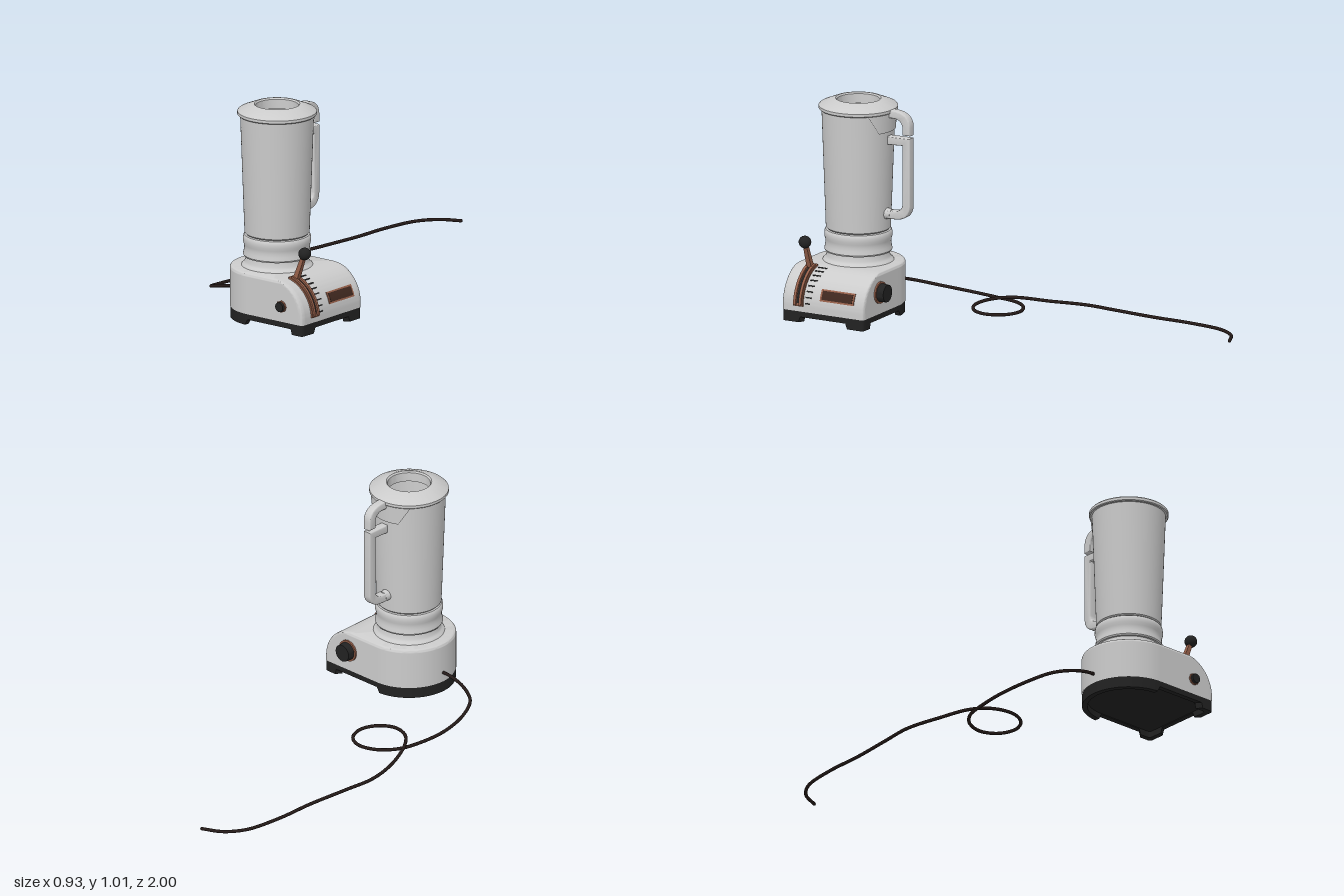
import * as THREE from 'three';
import { toCreasedNormals } from 'three/addons/utils/BufferGeometryUtils.js';

const mat = (color) => new THREE.MeshStandardMaterial({ color });
const grey = mat(0xcccccc), black = mat(0x222222), copper = mat(0x96604a), cordMat = mat(0x241a18);
const thin = new THREE.MeshStandardMaterial({ color: 0xcccccc, side: THREE.DoubleSide });
const CREASE = 0.6;

// Side arc of the motor housing (x-y plane)
const ARC = { x: 0.155, y: 0.075, r: 0.17 };

function add(parent, name, geometry, material, x = 0, y = 0, z = 0) {
  const mesh = new THREE.Mesh(geometry, material);
  mesh.name = name;
  mesh.position.set(x, y, z);
  parent.add(mesh);
  return mesh;
}

// D-shaped plan: half circle on one side, small corners on the other
function outline(R, xr, c = 0.015) {
  const pts = [];
  const line = (x0, z0, x1, z1, n) => {
    for (let i = 0; i < n; i++) pts.push([x0 + (x1 - x0) * i / n, z0 + (z1 - z0) * i / n]);
  };
  const arc = (cx, cz, r, a0, a1, n) => {
    for (let i = 0; i < n; i++) {
      const a = a0 + (a1 - a0) * i / n;
      pts.push([cx + r * Math.cos(a), cz - r * Math.sin(a)]);
    }
  };
  const h = Math.PI / 2, q = R - c;
  line(xr, q, xr, -q, 40);
  arc(xr - c, -q, c, 0, h, 5);
  line(xr - c, -R, 0, -R, 40);
  arc(0, 0, R, h, 3 * h, 48);
  line(0, R, xr - c, R, 40);
  arc(xr - c, q, c, 3 * h, 4 * h, 5);
  return pts;
}

// Skin over closed rings of [x, y, z] points
function loft(rings) {
  const n = rings[0].length, index = [];
  for (let i = 0; i < rings.length - 1; i++) {
    for (let j = 0; j < n; j++) {
      const k = (j + 1) % n, a = i * n, b = a + n;
      index.push(a + j, a + k, b + k, a + j, b + k, b + j);
    }
  }
  const g = new THREE.BufferGeometry();
  g.setAttribute('position', new THREE.Float32BufferAttribute(rings.flat(2), 3));
  g.setIndex(index);
  return toCreasedNormals(g, CREASE);
}

const ringAt = (pts, y) => pts.map(([x, z]) => [x, y, z]);
const pointAt = (n, x, y) => Array.from({ length: n }, () => [x, y, 0]);

function lathe(points, segments = 64) {
  return toCreasedNormals(new THREE.LatheGeometry(points.map(([x, y]) => new THREE.Vector2(x, y)), segments), CREASE);
}

// Curved strip lying on the side arc; angles in degrees
function arcStrip(r0, r1, a0, a1, width) {
  const s = new THREE.Shape(), A = THREE.MathUtils.degToRad(a0), B = THREE.MathUtils.degToRad(a1);
  s.absarc(0, 0, r1, A, B, false);
  s.absarc(0, 0, r0, B, A, true);
  const g = new THREE.ExtrudeGeometry(s, { depth: width, bevelEnabled: false, curveSegments: 24 });
  return toCreasedNormals(g.translate(ARC.x, ARC.y, -width / 2), CREASE);
}

// Rounded bar drawn as (distance behind the jar axis, y)
function backBar(shape, width) {
  const b = 0.006;
  const g = new THREE.ExtrudeGeometry(shape, {
    depth: width - 2 * b, bevelSize: b, bevelThickness: b, bevelOffset: -b, bevelSegments: 3, curveSegments: 14,
  });
  return toCreasedNormals(g.translate(0, 0, b - width / 2).rotateY(Math.PI / 2), CREASE);
}

function knob(parent, name, x, y, z, dir, r, depth, sides) {
  const g = new THREE.Group();
  g.name = name;
  g.position.set(x, y, z);
  g.rotation.x = dir * Math.PI / 2;
  add(g, name + 'Rim', toCreasedNormals(new THREE.CylinderGeometry(r * 1.17, r * 1.17, 0.016, sides), CREASE), copper);
  add(g, name + 'Cap', toCreasedNormals(new THREE.CylinderGeometry(r * 0.92, r, depth, 32), CREASE), black, 0, depth / 2, 0);
  parent.add(g);
}

function buildBase(parent) {
  // Plinth: hollow rim with notches that leave feet
  const R = 0.214, xr = 0.324, outer = outline(R, xr), inner = outline(R - 0.025, xr - 0.025);
  const foot = outer.map(([x, z]) =>
    (x > -0.013 && x < 0.257) || (x > 0.3 && Math.abs(z) < 0.12) ? 0.026 : 0);
  const withFoot = (pts) => pts.map(([x, z], i) => [x, foot[i], z]);
  add(parent, 'plinth', loft([
    pointAt(outer.length, 0.1, 0.03), ringAt(inner, 0.03), withFoot(inner),
    withFoot(outer), ringAt(outer, 0.054), pointAt(outer.length, 0.1, 0.054),
  ]), black);

  // Motor housing: one end sweeps over in an arc, top edge softened
  const rings = [ringAt(outline(0.216, 0.325), 0.052)];
  const steps = 32, f = 0.015;
  for (let i = 0; i <= steps; i++) {
    const a = i / steps * Math.PI / 2, y = ARC.y + ARC.r * Math.sin(a);
    const t = Math.max(0, y - (0.245 - f));
    const inset = f - Math.sqrt(Math.max(0, f * f - t * t));
    rings.push(ringAt(outline(0.216 - inset, ARC.x + ARC.r * Math.cos(a)), y));
  }
  rings.push(pointAt(outer.length, 0, 0.245));
  add(parent, 'motorHousing', loft(rings), grey);

  add(parent, 'neck', lathe([[0.165, 0.243], [0.16, 0.25], [0.152, 0.256], [0.146, 0.266], [0.143, 0.292]]), grey);
  add(parent, 'collar', lathe([[0, 0.29], [0.153, 0.29], [0.156, 0.297], [0.152, 0.315], [0.15, 0.33],
    [0.152, 0.345], [0.156, 0.358], [0.156, 0.372], [0.154, 0.385], [0.15, 0.39], [0, 0.39]]), grey);
}

function buildControls(parent) {
  // Curved lever track with raised rails
  const z = 0.127;
  add(parent, 'leverTrack', arcStrip(0.16, 0.178, 1, 78, 0.05), copper, 0, 0, z);
  for (const s of [-1, 1]) add(parent, 'trackRail', arcStrip(0.17, 0.186, 3, 74, 0.013), copper, 0, 0, z + s * 0.014);
  add(parent, 'trackSlot', arcStrip(0.17, 0.1795, 6, 71, 0.01), black, 0, 0, z);

  const lever = new THREE.Group();
  lever.name = 'lever';
  lever.position.set(ARC.x, ARC.y, z);
  lever.rotation.z = THREE.MathUtils.degToRad(-21);
  add(lever, 'leverArm', new THREE.CylinderGeometry(0.013, 0.018, 0.125, 4, 1).rotateY(Math.PI / 4).toNonIndexed(), copper, 0, 0.23, 0)
    .geometry.computeVertexNormals();
  add(lever, 'leverBall', new THREE.SphereGeometry(0.029, 32, 20), black, 0, 0.312, 0);
  parent.add(lever);

  // Speed marks
  for (let i = 0; i < 8; i++) {
    const a = 5 + i * 9.5, w = 0.026 + i * 0.003;
    add(parent, 'speedMark', arcStrip(0.16, 0.172, a, a + 2.2, w), black, 0, 0, 0.092 - w / 2);
  }

  // Blank name plate
  add(parent, 'plateFrame', arcStrip(0.16, 0.174, 13, 32, 0.178), copper, 0, 0, -0.073);
  add(parent, 'plateInset', arcStrip(0.16, 0.1755, 15.5, 29.5, 0.16), mat(0x40281f), 0, 0, -0.073);

  knob(parent, 'frontButton', 0.204, 0.125, 0.216, 1, 0.024, 0.02, 8);
  knob(parent, 'backDial', 0.177, 0.153, -0.216, -1, 0.044, 0.042, 32);
}

function buildJar(parent) {
  add(parent, 'jar', lathe([[0, 0.394], [0.144, 0.394], [0.149, 0.4], [0.169, 0.957],
    [0.161, 0.957], [0.141, 0.41], [0, 0.41]]), grey);
  add(parent, 'lid', lathe([[0.097, 0.955], [0.178, 0.955], [0.182, 0.959], [0.182, 0.972], [0.176, 0.978],
    [0.113, 1.004], [0.104, 1.005], [0.098, 0.998], [0.097, 0.955]]), grey);

  // Lid skirt at the back, narrowing downwards
  const skirt = new THREE.CylinderGeometry(0.176, 0.172, 0.09, 24, 4, true, Math.PI - 0.8, 1.6);
  const p = skirt.attributes.position;
  for (let i = 0; i < p.count; i++) {
    const r = Math.hypot(p.getX(i), p.getZ(i)), t = 0.5 - p.getY(i) / 0.09;
    const a = Math.atan2(p.getX(i), -p.getZ(i)) * (1 - 0.42 * t);
    p.setX(i, r * Math.sin(a));
    p.setZ(i, -r * Math.cos(a));
  }
  skirt.computeVertexNormals();
  add(parent, 'lidSkirt', skirt, thin, 0, 0.913, 0);

  // Lid thumb tab curving down to the handle
  const tab = new THREE.Shape();
  tab.moveTo(0.165, 0.974);
  tab.lineTo(0.2, 0.972);
  tab.bezierCurveTo(0.25, 0.97, 0.283, 0.945, 0.283, 0.9);
  tab.lineTo(0.283, 0.862);
  tab.lineTo(0.243, 0.862);
  tab.lineTo(0.243, 0.895);
  tab.quadraticCurveTo(0.24, 0.932, 0.2, 0.935);
  tab.lineTo(0.165, 0.935);
  add(parent, 'lidTab', backBar(tab, 0.042), grey);

  // Jar handle
  const h = new THREE.Shape();
  h.moveTo(0.163, 0.848);
  h.lineTo(0.283, 0.85);
  h.lineTo(0.283, 0.53);
  h.quadraticCurveTo(0.28, 0.465, 0.21, 0.46);
  h.lineTo(0.147, 0.458);
  h.lineTo(0.147, 0.496);
  h.lineTo(0.2, 0.498);
  h.quadraticCurveTo(0.243, 0.502, 0.243, 0.54);
  h.lineTo(0.243, 0.812);
  h.lineTo(0.163, 0.808);
  add(parent, 'handle', backBar(h, 0.042), grey);
  add(parent, 'handleBoss', new THREE.CylinderGeometry(0.024, 0.027, 0.03, 24).rotateX(-Math.PI / 2), grey, 0, 0.478, -0.162);

  // Blades on the jar floor
  add(parent, 'bladeHub', new THREE.CylinderGeometry(0.016, 0.022, 0.03, 24), grey, 0, 0.425, 0);
  for (const s of [-1, 1]) {
    const arm = new THREE.Group();
    arm.name = 'bladeArm';
    arm.position.y = 0.436;
    arm.rotation.y = -Math.PI / 4 + (s < 0 ? Math.PI : 0);
    const blade = add(arm, 'blade', new THREE.ConeGeometry(0.014, 0.075, 4).rotateZ(-Math.PI / 2).scale(1, 0.2, 1), grey, 0.045, 0.008, 0);
    blade.rotation.z = 0.3;
    parent.add(arm);
  }
}

function buildCord(parent) {
  // Path on the floor as [x, y, z], with one loop crossing over itself
  const path = [[-0.07, 0.098, 0.762], [-0.14, 0.094, 0.762], [-0.23, 0.076, 0.75], [-0.31, 0.052, 0.71], [-0.36, 0.03, 0.61],
    [-0.385, 0.014, 0.46], [-0.375, 0.008, 0.32], [-0.345, 0.008, 0.2], [-0.28, 0.008, 0.125], [-0.19, 0.008, 0.098],
    [-0.115, 0.008, 0.135], [-0.085, 0.008, 0.22], [-0.12, 0.01, 0.295], [-0.195, 0.015, 0.328], [-0.285, 0.022, 0.3],
    [-0.36, 0.024, 0.22], [-0.425, 0.011, 0.07], [-0.46, 0.008, -0.1], [-0.445, 0.008, -0.27], [-0.424, 0.008, -0.48],
    [-0.417, 0.008, -0.68], [-0.385, 0.008, -0.86], [-0.32, 0.008, -0.95], [-0.23, 0.008, -0.995]];
  const curve = new THREE.CatmullRomCurve3(path.map((q) => new THREE.Vector3(...q)));
  add(parent, 'powerCord', new THREE.TubeGeometry(curve, 260, 0.0078, 10), cordMat);
  const end = path[path.length - 1];
  add(parent, 'cordEnd', new THREE.SphereGeometry(0.0078, 12, 8), cordMat, ...end);
}

export function createModel() {
  const model = new THREE.Group();
  model.name = 'blender';
  const body = new THREE.Group();
  body.name = 'blenderBody';
  body.position.set(0.123, 0, 0.763);
  buildBase(body);
  buildControls(body);
  buildJar(body);
  model.add(body);
  buildCord(model);
  return model;
}
